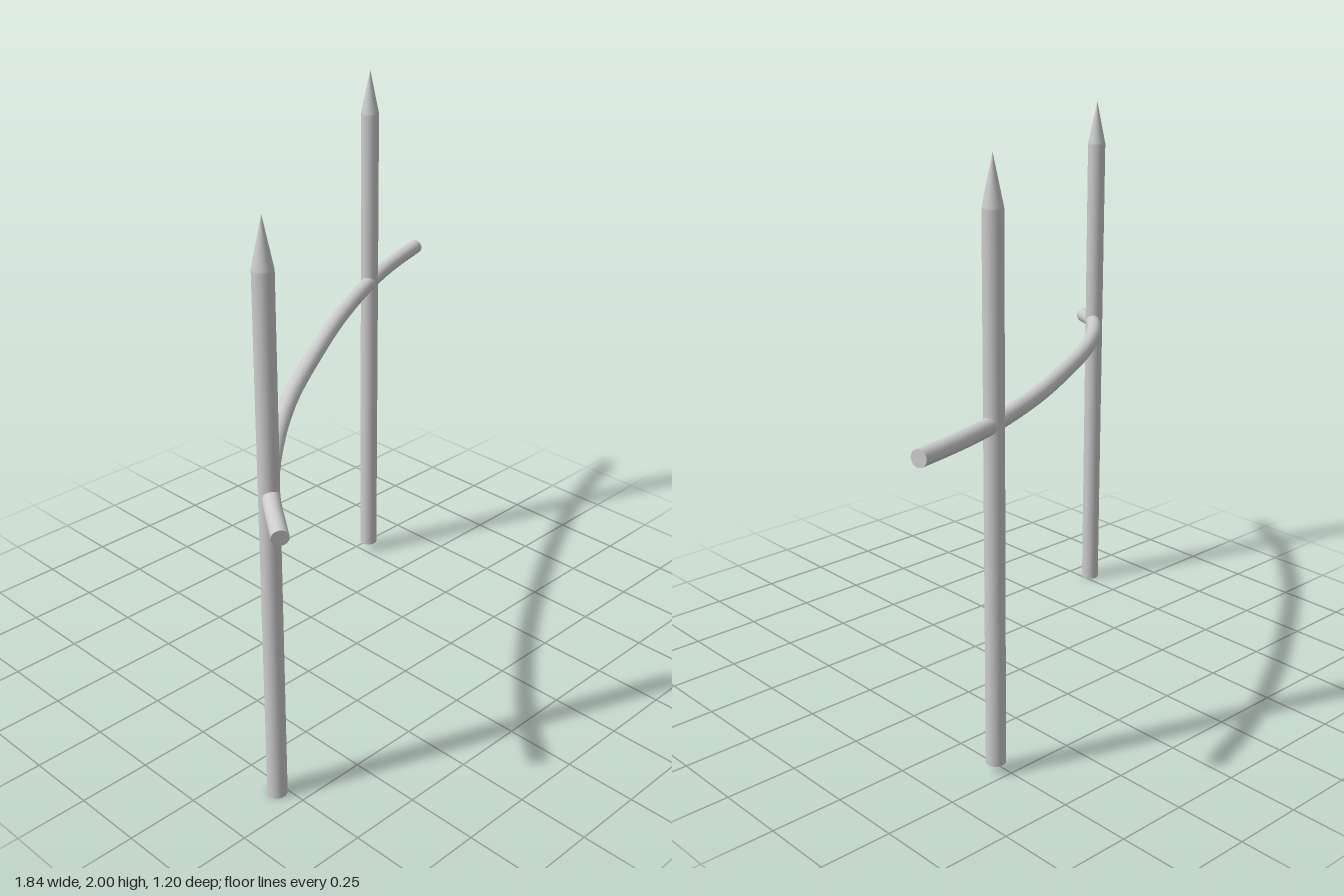
import * as THREE from 'three';

const material = new THREE.MeshStandardMaterial({ color: 0xcccccc });

function makeMesh(name, geometry) {
  const mesh = new THREE.Mesh(geometry, material);
  mesh.name = name;
  return mesh;
}

// Round stake with a sharpened tip
function makePost(name, x, z, bottom) {
  const radius = 0.033, shaft = 1.805, tip = 0.16;
  const post = new THREE.Group();
  post.name = name;
  const body = makeMesh('postShaft', new THREE.CylinderGeometry(radius, radius, shaft, 24));
  body.position.y = shaft / 2;
  const point = makeMesh('postTip', new THREE.ConeGeometry(radius, tip, 24, 1, true));
  point.position.y = shaft + tip / 2;
  post.add(body, point);
  post.position.set(x, bottom, z);
  return post;
}

// Curved rail with flat sawn ends
function makeRail() {
  const radius = 0.0275;
  const curve = new THREE.CatmullRomCurve3([
    [-0.897, 1.075, 0.587],
    [-0.78, 1.103, 0.42],
    [-0.61, 1.122, 0.247],
    [-0.36, 1.142, 0.045],
    [0, 1.16, -0.182],
    [0.23, 1.171, -0.312],
    [0.53, 1.185, -0.453],
    [0.72, 1.194, -0.521],
    [0.912, 1.202, -0.573],
  ].map((p) => new THREE.Vector3(...p)));

  const rail = new THREE.Group();
  rail.name = 'rail';
  rail.add(makeMesh('railPole', new THREE.TubeGeometry(curve, 40, radius, 24)));
  for (const [name, t, sign] of [['railStartCap', 0, -1], ['railEndCap', 1, 1]]) {
    const cap = makeMesh(name, new THREE.CircleGeometry(radius, 24));
    const outward = curve.getTangentAt(t).multiplyScalar(sign);
    cap.position.copy(curve.getPointAt(t));
    cap.quaternion.setFromUnitVectors(new THREE.Vector3(0, 0, 1), outward);
    rail.add(cap);
  }
  return rail;
}

export function createModel() {
  const fence = new THREE.Group();
  fence.name = 'fence';
  fence.add(
    makePost('rightPost', -0.78, 0.412, 0),
    makePost('leftPost', 0.528, -0.457, 0.035),
    makeRail(),
  );
  return fence;
}
